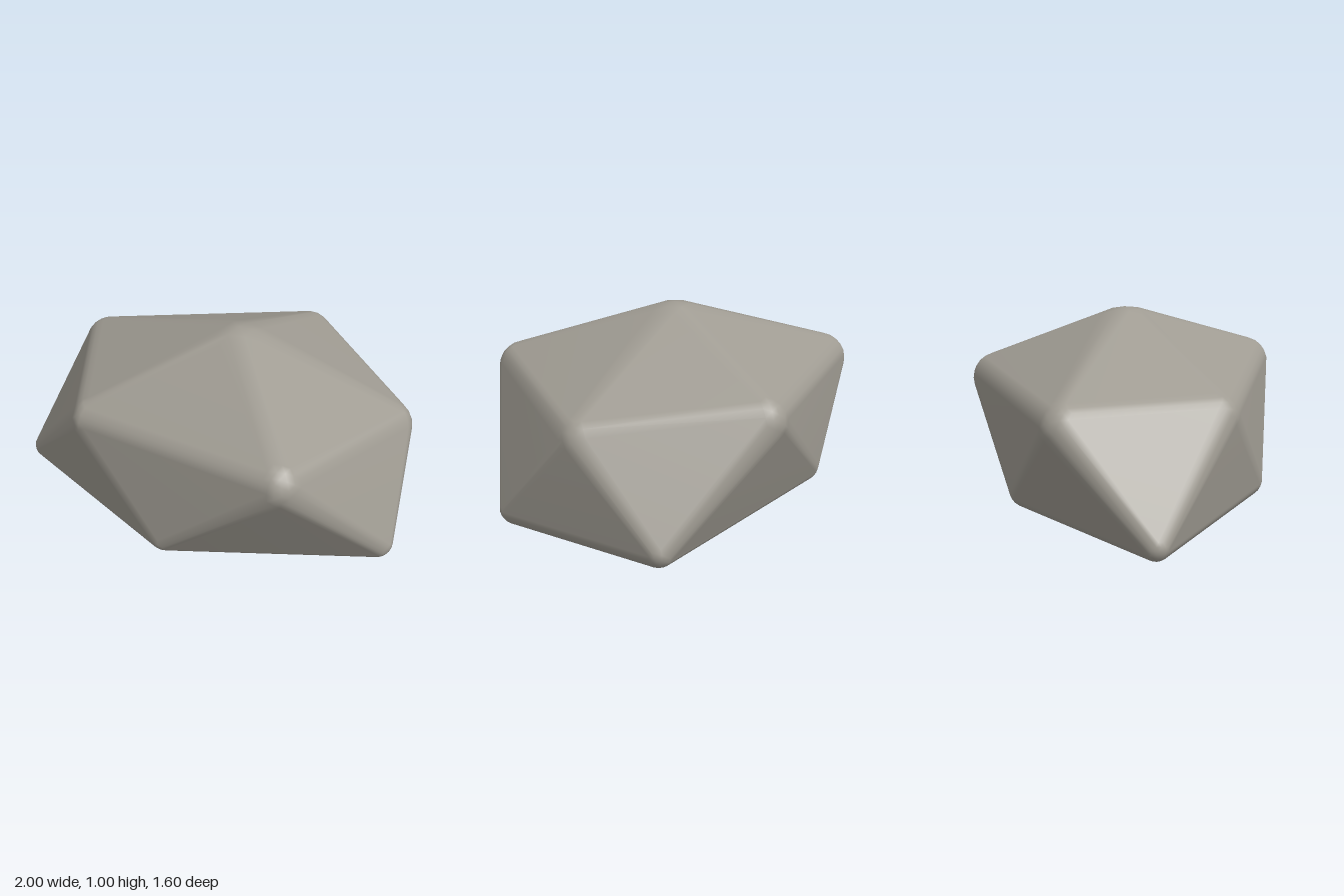
import * as THREE from 'three';
import { ConvexGeometry } from 'three/addons/geometries/ConvexGeometry.js';
import { mergeVertices } from 'three/addons/utils/BufferGeometryUtils.js';

// Rounded corners of the boulder: centre x, y, z and rounding radius
const CORNERS = [
  [0.12, 0.75, -0.03, 0.25],   // peak
  // upper ring
  [0.43, 0.63, 0.67, 0.13],
  [0.39, 0.60, -0.67, 0.13],
  [-0.53, 0.57, 0.27, 0.13],
  [-0.65, 0.58, -0.44, 0.13],
  [0.865, 0.52, -0.03, 0.135],
  // lower ring
  [-0.93, 0.10, -0.08, 0.07],
  [-0.13, 0.13, 0.54, 0.09],
  [0.89, 0.10, 0.37, 0.08],
  [0.89, 0.10, -0.45, 0.08],
  [-0.20, 0.16, -0.58, 0.09],
  // underside ridge
  [-0.70, 0.10, -0.06, 0.10],
  [0.20, 0.10, 0.00, 0.10],
];

// Hull wrapped around a small ball at every corner, giving soft rounded edges
function roundedHull(corners) {
  const ball = mergeVertices(
    new THREE.IcosahedronGeometry(1, 3).deleteAttribute('normal').deleteAttribute('uv'), 1e-4);
  const pos = ball.getAttribute('position');
  const points = [];
  for (const [x, y, z, r] of corners) {
    const centre = new THREE.Vector3(x, y, z);
    for (let i = 0; i < pos.count; i++) {
      points.push(new THREE.Vector3().fromBufferAttribute(pos, i).multiplyScalar(r).add(centre));
    }
  }
  // Share the vertices so that the surface is smooth
  const hull = mergeVertices(new ConvexGeometry(points).deleteAttribute('normal'), 1e-4);
  hull.computeVertexNormals();
  return hull;
}

export function createModel() {
  const group = new THREE.Group();
  group.name = 'rock';

  const stone = new THREE.MeshStandardMaterial({ color: 0xa09c93 });
  stone.name = 'stone grey';

  const boulder = new THREE.Mesh(roundedHull(CORNERS), stone);
  boulder.name = 'boulder';
  group.add(boulder);
  return group;
}
